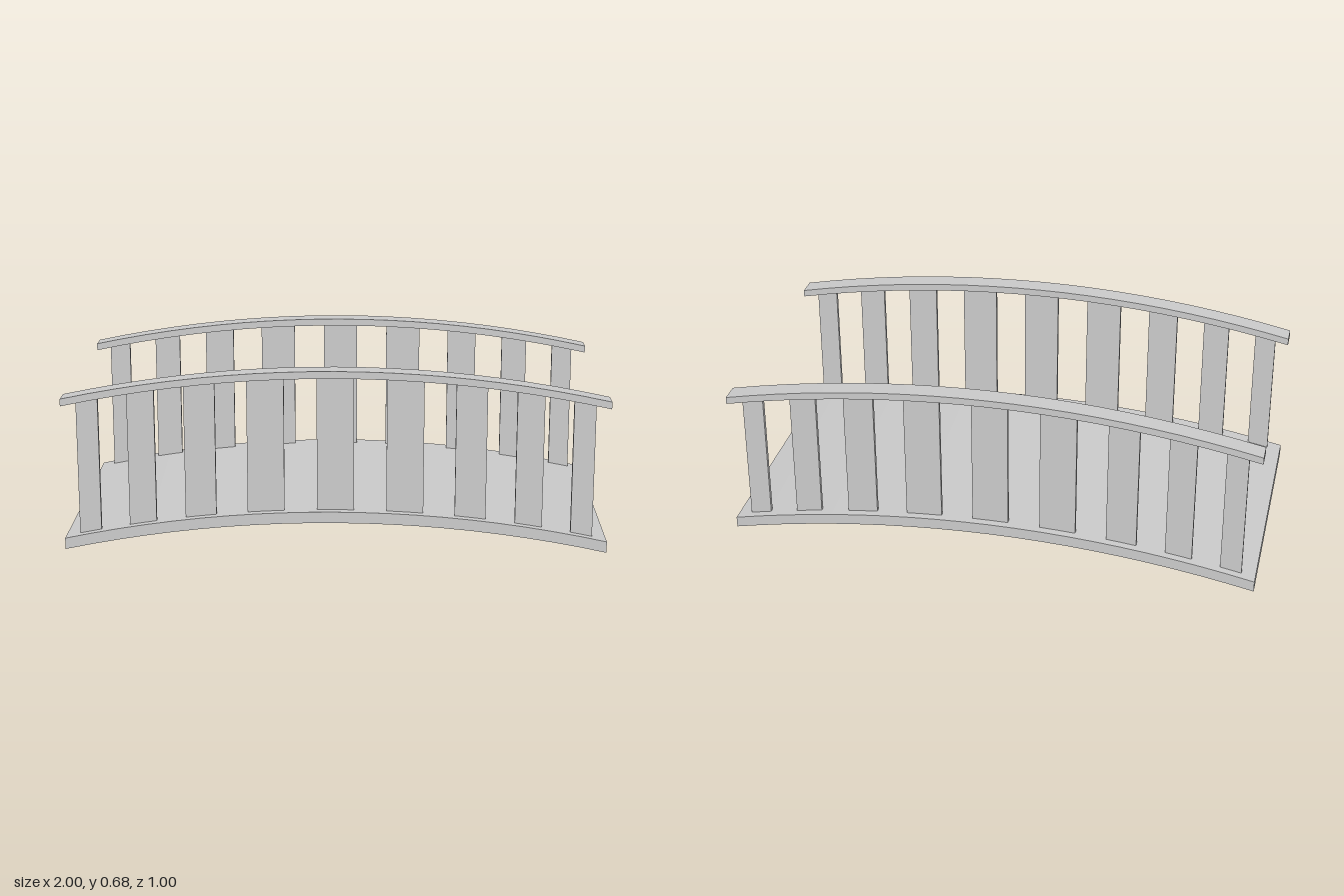
import * as THREE from 'three';
import { toCreasedNormals } from 'three/addons/utils/BufferGeometryUtils.js';

const material = new THREE.MeshStandardMaterial({ color: 0xcccccc });

// Height of the shared arch relative to its crown
const arch = (x) => -0.108 * x * x;

// Slab from x0 to x1 whose lower and upper faces both follow the arch
function archedSlab(name, x0, x1, bottom, top, depth, z, segments) {
  const lower = [];
  const upper = [];
  for (let i = 0; i <= segments; i++) {
    const x = x0 + ((x1 - x0) * i) / segments;
    lower.push(new THREE.Vector2(x, bottom + arch(x)));
    upper.unshift(new THREE.Vector2(x, top + arch(x)));
  }
  const shape = new THREE.Shape([...lower, ...upper]);
  const extruded = new THREE.ExtrudeGeometry(shape, { depth, bevelEnabled: false });
  extruded.translate(0, 0, z - depth / 2);
  const mesh = new THREE.Mesh(toCreasedNormals(extruded, Math.PI / 6), material);
  mesh.name = name;
  return mesh;
}

export function createModel() {
  const bridge = new THREE.Group();
  bridge.name = 'archedFootbridge';

  const deckTop = 0.15;
  const railBottom = 0.654;

  // Walking deck
  bridge.add(archedSlab('deck', -1, 1, 0.108, deckTop, 1, 0, 20));

  // Baluster centres and widths, narrowing toward the ends
  const balusters = [[0, 0.136], [0.256, 0.136], [0.497, 0.114], [0.712, 0.1], [0.908, 0.08]];

  for (const side of [1, -1]) {
    const railing = new THREE.Group();
    railing.name = side > 0 ? 'frontRailing' : 'backRailing';

    // Handrail
    railing.add(archedSlab('handrail', -1, 1, railBottom, 0.681, 0.076, side * 0.462, 20));

    // Flat balusters between deck and handrail
    for (const [centre, width] of balusters) {
      for (const x of centre ? [-centre, centre] : [0]) {
        railing.add(archedSlab('baluster', x - width / 2, x + width / 2,
          deckTop, railBottom, 0.016, side * 0.461, 2));
      }
    }
    bridge.add(railing);
  }
  return bridge;
}
